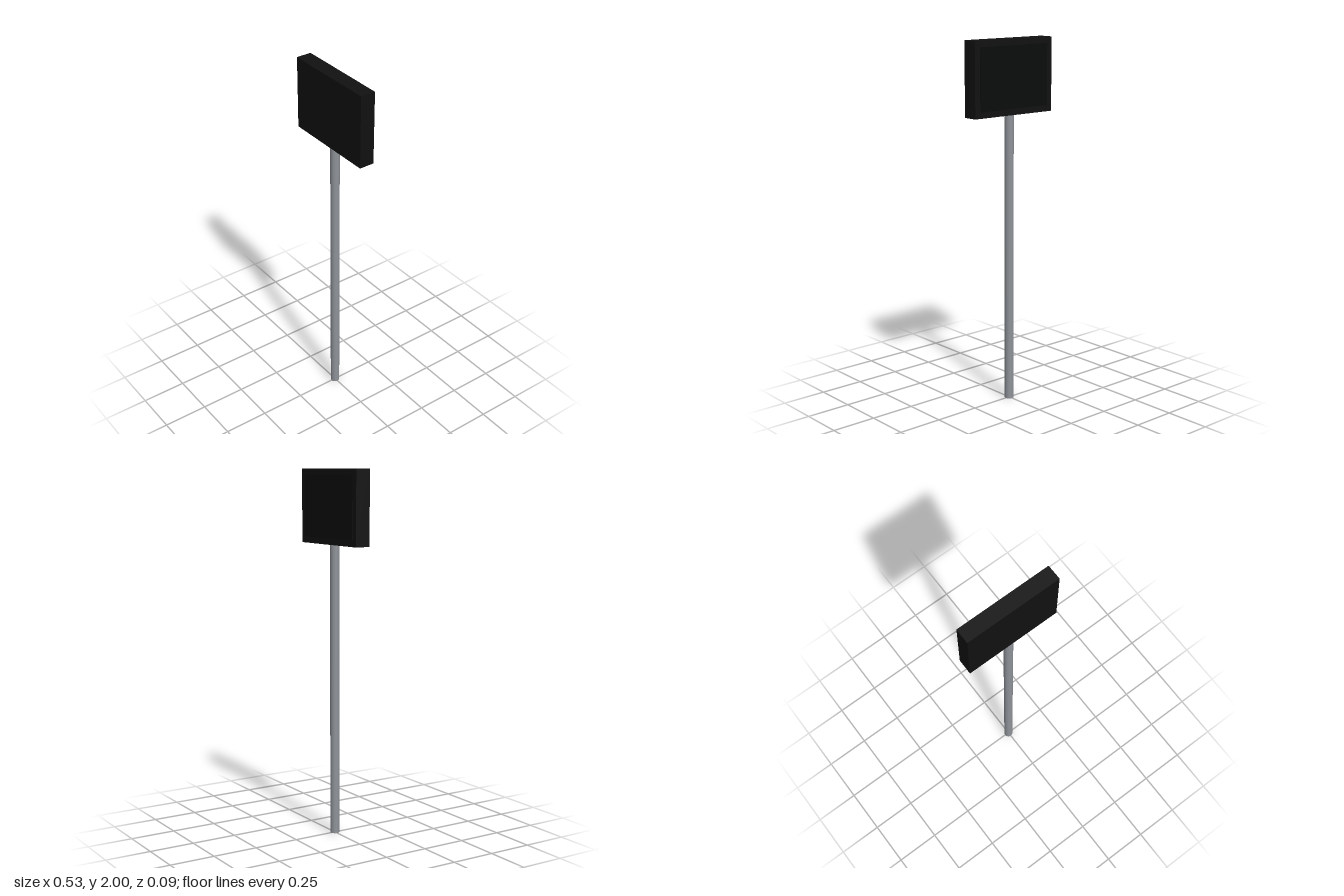
import * as THREE from 'three';

export function createModel() {
  const model = new THREE.Group();
  const poleGrey = new THREE.MeshStandardMaterial({ color: 0x8e9298 });
  const casingBlack = new THREE.MeshStandardMaterial({ color: 0x111111 });
  const screenBlack = new THREE.MeshStandardMaterial({ color: 0x0a0c0b });

  const add = (name, geometry, material, x, y, z) => {
    const mesh = new THREE.Mesh(geometry, material);
    mesh.name = name;
    mesh.position.set(x, y, z);
    model.add(mesh);
  };

  // Round post, standing on the ground and meeting the underside of the casing
  add('pole', new THREE.CylinderGeometry(0.025, 0.025, 1.6, 32), poleGrey, 0, 0.8, 0);

  // Sign casing
  add('signCasing', new THREE.BoxGeometry(0.534, 0.4, 0.084), casingBlack, 0, 1.8, 0.0005);

  // Thin display plate, slightly proud of the back face
  add('displayPlate', new THREE.BoxGeometry(0.467, 0.334, 0.004), screenBlack, 0, 1.8, -0.0415);

  return model;
}
